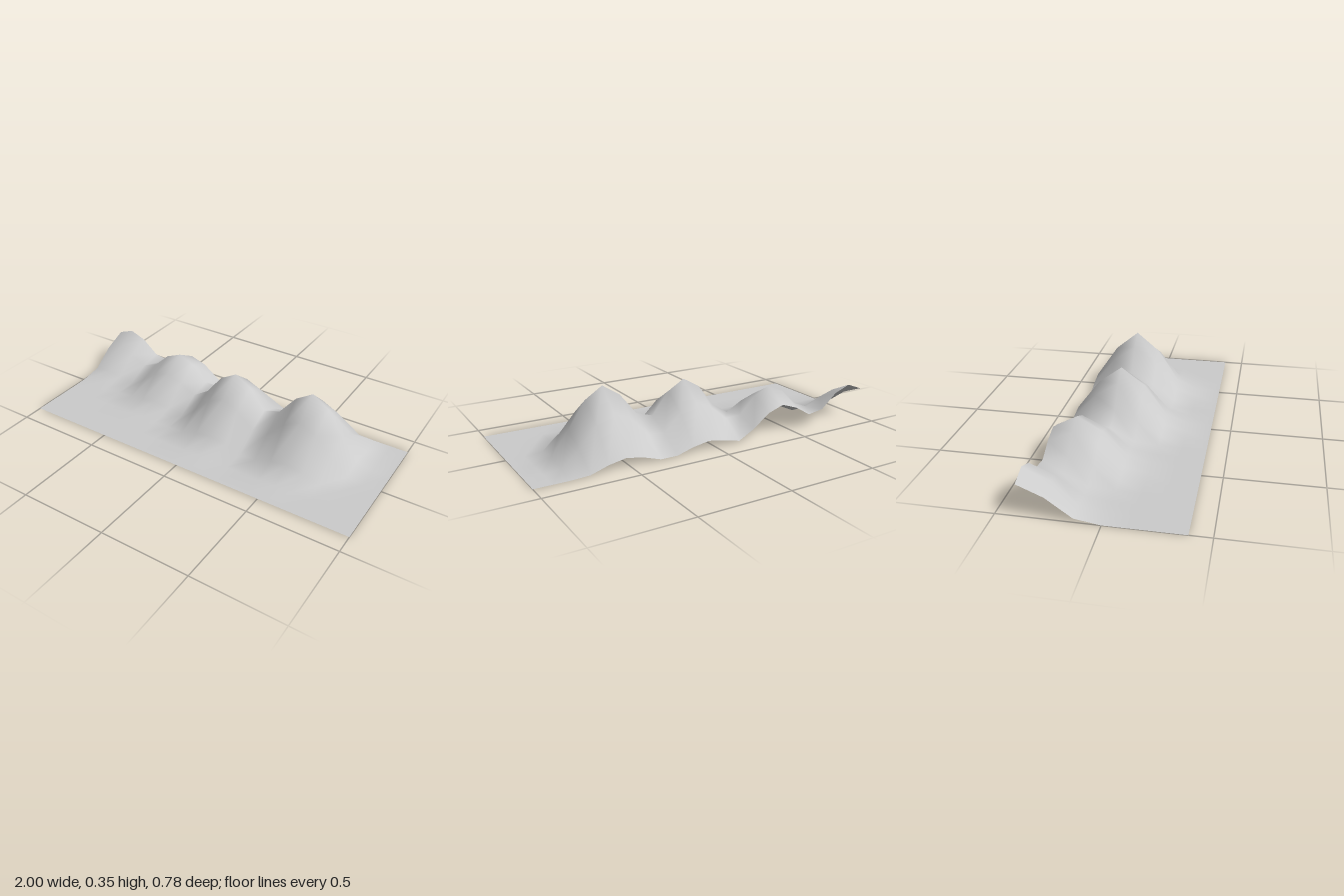
import * as THREE from 'three';

const COLS = 21, ROWS = 6, WIDTH = 2, DEPTH = 0.78;
const REACH = 0.348; // radius of ground lifted by each peak

// Peaks as grid column, grid row (0 = back edge) and height
const PEAKS = [
  [1, 0, 0.205],
  [6, 1, 0.235],
  [11, 2, 0.317],
  [16, 2, 0.352],
];

// Smooth bell falloff from 1 at the peak to 0 at REACH
const falloff = (d) => (d >= REACH ? 0 : 0.5 * (1 + Math.cos((Math.PI * d) / REACH)));

export function createModel() {
  const group = new THREE.Group();
  group.name = 'mountainTerrain';

  // Flat ground sheet
  const geometry = new THREE.PlaneGeometry(WIDTH, DEPTH, COLS, ROWS).rotateX(-Math.PI / 2);
  const pos = geometry.attributes.position;
  for (let i = 0; i < pos.count; i++) pos.setY(i, 0);

  // Pull up each peak in turn; ground already raised is further away and moves less
  const point = new THREE.Vector3();
  for (const [col, row, height] of PEAKS) {
    const centre = new THREE.Vector3().fromBufferAttribute(pos, row * (COLS + 1) + col);
    const lift = height - centre.y;
    for (let i = 0; i < pos.count; i++) {
      point.fromBufferAttribute(pos, i);
      pos.setY(i, point.y + lift * falloff(point.distanceTo(centre)));
    }
  }
  geometry.computeVertexNormals();

  const material = new THREE.MeshStandardMaterial({ color: 0xcccccc, side: THREE.DoubleSide });
  const terrain = new THREE.Mesh(geometry, material);
  terrain.name = 'mountainRidge';
  group.add(terrain);
  return group;
}
